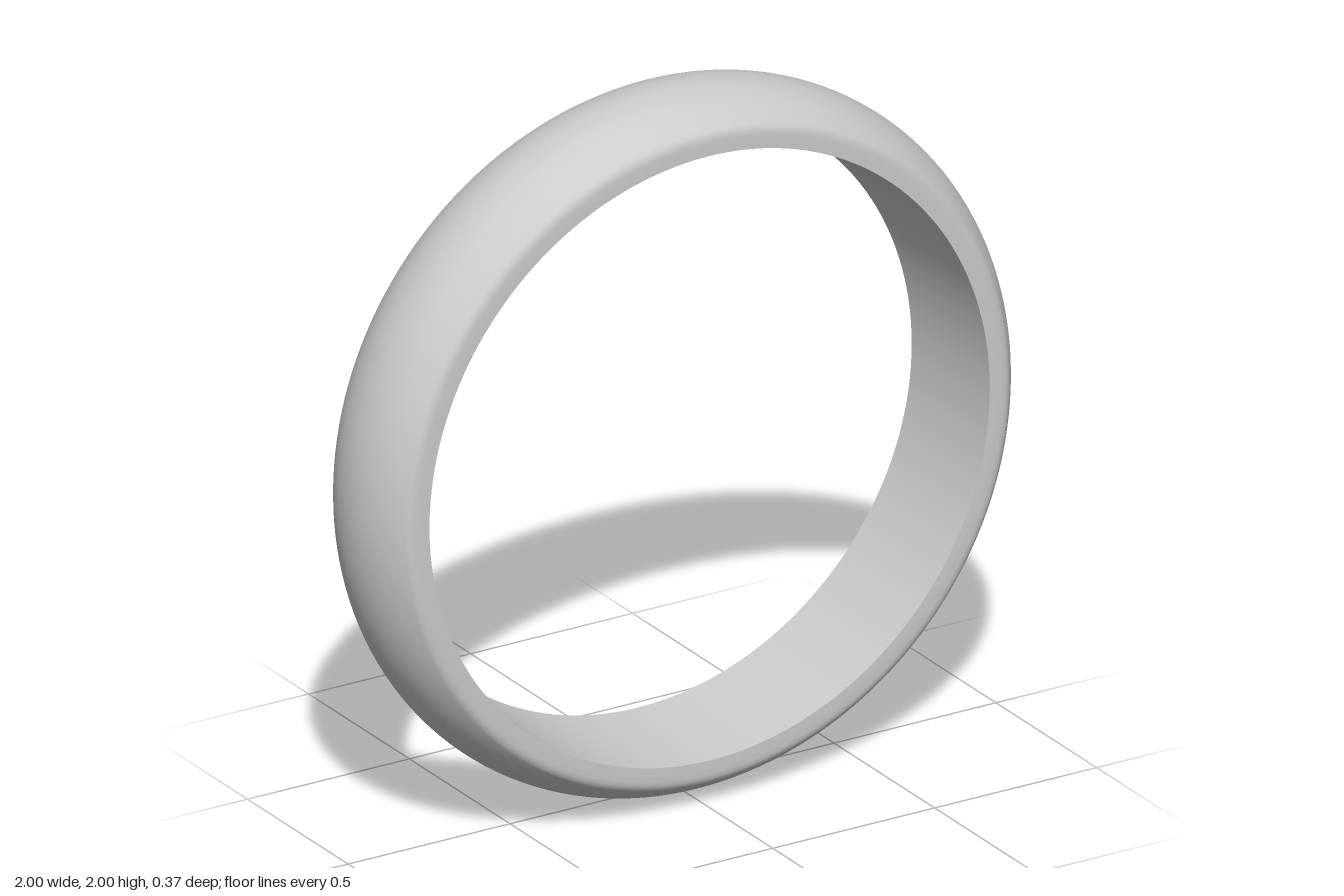
import * as THREE from 'three';

const SEGMENTS = 160;
const HALF_WIDTH = 0.187;

export function createModel() {
  const ring = new THREE.Group();
  ring.name = 'ring';
  const material = new THREE.MeshStandardMaterial({ color: 0xcccccc, roughness: 0.6 });

  // Spin a profile of [radius, z] points around the z axis, centred at y = 1
  function addBand(name, points) {
    const geometry = new THREE.LatheGeometry(points.map(([r, z]) => new THREE.Vector2(r, z)), SEGMENTS);
    geometry.rotateX(Math.PI / 2);
    const mesh = new THREE.Mesh(geometry, material);
    mesh.name = name;
    mesh.position.y = 1;
    ring.add(mesh);
  }

  // Half of the domed outside: an arc over the crown, then a rounded shoulder
  const half = [];
  const zEdge = 0.174, drop = 0.066;
  const arcRadius = (zEdge * zEdge + drop * drop) / (2 * drop);
  for (let i = 0; i <= 12; i++) {
    const z = (zEdge * i) / 12;
    half.push([1 - arcRadius + Math.sqrt(arcRadius * arcRadius - z * z), z]);
  }
  half.push([0.927, 0.181], [0.917, 0.185], [0.905, HALF_WIDTH], [0.885, HALF_WIDTH]);

  // Outer shell, mirrored front to back, including the flat side faces
  addBand('outerShell', [
    [0.862, -HALF_WIDTH],
    ...half.slice(1).reverse().map(([r, z]) => [r, -z]),
    ...half,
    [0.865, HALF_WIDTH],
  ]);

  // Slightly tapered bore and the narrow bevel at its back edge
  addBand('innerBore', [[0.865, HALF_WIDTH], [0.847, -0.172]]);
  addBand('backBevel', [[0.847, -0.172], [0.862, -HALF_WIDTH]]);

  return ring;
}
